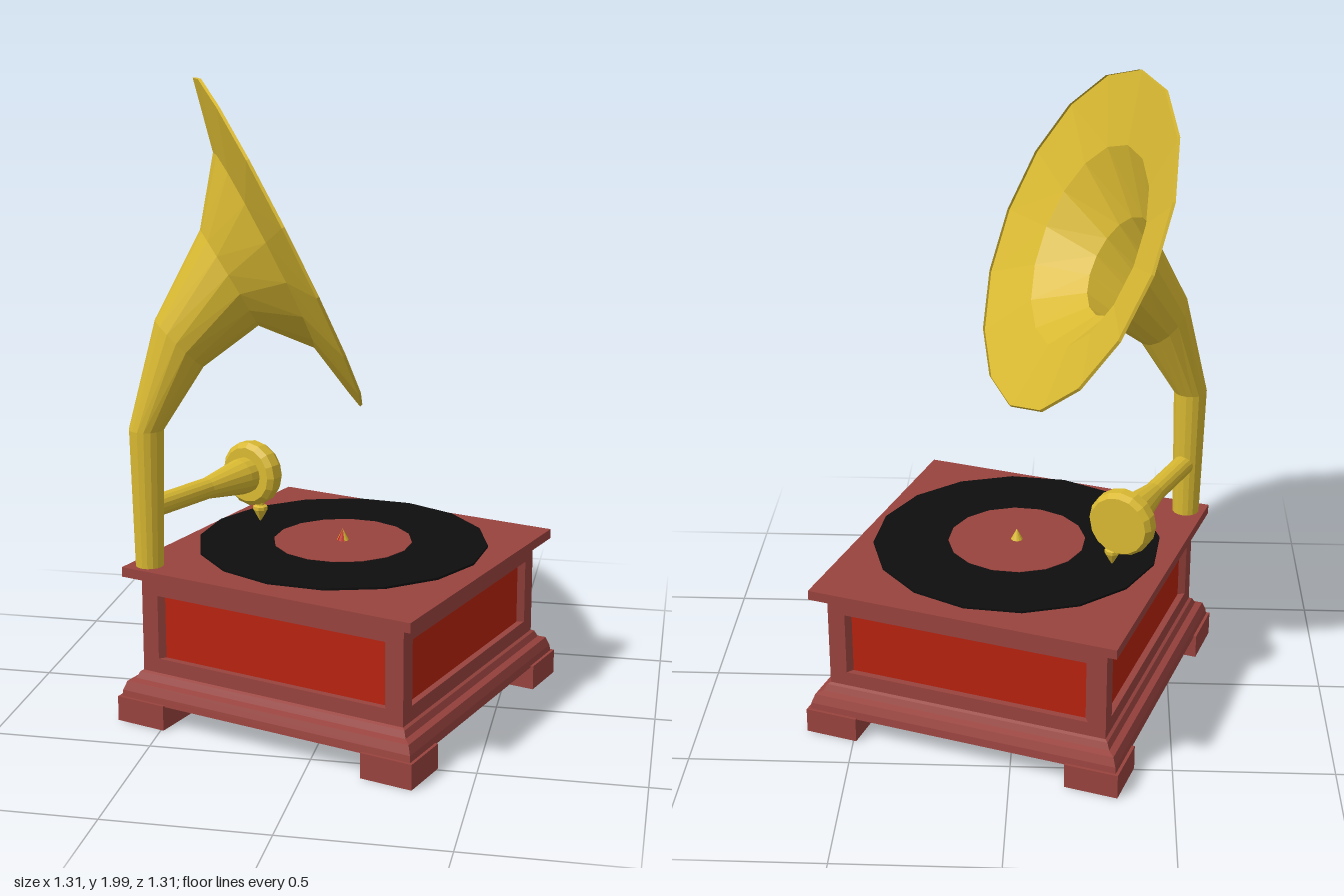
import * as THREE from 'three';

const wood = new THREE.MeshStandardMaterial({ color: 0x99433e });
wood.name = 'wood';
const red = new THREE.MeshStandardMaterial({ color: 0xb8220f });
red.name = 'red panel';
const brass = new THREE.MeshStandardMaterial({ color: 0xd9b932, side: THREE.DoubleSide });
brass.name = 'brass';
const black = new THREE.MeshStandardMaterial({ color: 0x0e0e0e });
black.name = 'black vinyl';

const deg = Math.PI / 180;

// Faceted mesh: every face gets its own normal
function part(name, geo, mat, parent, x = 0, y = 0, z = 0) {
  const g = geo.index ? geo.toNonIndexed() : geo;
  g.computeVertexNormals();
  const mesh = new THREE.Mesh(g, mat);
  mesh.name = name;
  mesh.position.set(x, y, z);
  parent.add(mesh);
  return mesh;
}

function lathe(points, sides) {
  return new THREE.LatheGeometry(points.map(([r, y]) => new THREE.Vector2(r, y)), sides);
}

// Square stepped moulding from [half width, height] pairs
function moulding(points) {
  return lathe(points.map(([h, y]) => [h * Math.SQRT2, y]), 4).rotateY(Math.PI / 4);
}

// Skin of rings lying in the xy plane: [x, y, radius, elevation in degrees]
function ringSkin(rings, sides) {
  const pos = [], index = [];
  rings.forEach(([x, y, r, e], i) => {
    const c = Math.cos(e * deg), s = Math.sin(e * deg);
    for (let j = 0; j < sides; j++) {
      const a = (j + 0.35) / sides * Math.PI * 2;
      pos.push(x + r * Math.sin(a) * s, y - r * Math.sin(a) * c, r * Math.cos(a));
      if (i < rings.length - 1) {
        const k = (j + 1) % sides, p = i * sides, q = p + sides;
        index.push(p + j, p + k, q + k, p + j, q + k, q + j);
      }
    }
  });
  const g = new THREE.BufferGeometry();
  g.setAttribute('position', new THREE.Float32BufferAttribute(pos, 3));
  g.setIndex(index);
  return g;
}

function rect(target, x0, y0, x1, y1) {
  target.moveTo(x0, y0);
  target.lineTo(x1, y0);
  target.lineTo(x1, y1);
  target.lineTo(x0, y1);
  target.closePath();
  return target;
}

function createCabinet() {
  const cabinet = new THREE.Group();
  cabinet.name = 'cabinet';
  const H = 0.457, depth = 0.025, low = 0.15, high = 0.475;

  // Feet, plinth, core and lid
  for (const sx of [-1, 1]) for (const sz of [-1, 1]) {
    part('foot', new THREE.BoxGeometry(0.17, 0.08, 0.17), wood, cabinet, sx * 0.432, 0.04, sz * 0.432);
  }
  part('plinth', moulding([[0, 0.075], [0.508, 0.075], [0.505, 0.1], [0.495, 0.128], [0.475, 0.135], [0.466, 0.155], [H, 0.16], [0, 0.16]]), wood, cabinet);
  const core = 2 * (H - depth);
  part('cabinetCore', new THREE.BoxGeometry(core, high - low, core), wood, cabinet, 0, (low + high) / 2, 0);
  part('lid', new THREE.BoxGeometry(1, 0.031, 1), wood, cabinet, 0, 0.4875, 0);

  // Four sides, each a frame round a sunken panel
  for (let i = 0; i < 4; i++) {
    const side = new THREE.Group();
    side.name = 'cabinetSide';
    side.rotation.y = i * Math.PI / 2;
    cabinet.add(side);
    const w = i % 2 ? H - depth : H;
    const shape = rect(new THREE.Shape(), -w, low, w, high);
    shape.holes.push(rect(new THREE.Path(), -0.4, 0.207, 0.4, 0.413));
    part('panelFrame', new THREE.ExtrudeGeometry(shape, { depth, bevelEnabled: false }), wood, side, 0, 0, H - depth);
    part('panel', new THREE.BoxGeometry(0.8, 0.206, 0.004), red, side, 0, 0.31, H - depth + 0.002);
    // Slanted jambs at both ends of the panel
    for (const s of [-1, 1]) {
      const tri = new THREE.Shape([new THREE.Vector2(0, 0), new THREE.Vector2(-s * 0.017, 0), new THREE.Vector2(0, -depth)]);
      const jamb = new THREE.ExtrudeGeometry(tri, { depth: 0.206, bevelEnabled: false }).rotateX(-Math.PI / 2);
      part('panelJamb', jamb, wood, side, s * 0.4, 0.207, H - depth);
    }
  }

  // Record, label and spindle
  part('record', new THREE.CylinderGeometry(0.46, 0.46, 0.007, 16), black, cabinet, 0, 0.5245, 0);
  part('recordLabel', new THREE.CylinderGeometry(0.22, 0.22, 0.002, 16), wood, cabinet, 0, 0.5285, 0);
  part('spindleFront', new THREE.ConeGeometry(0.032, 0.062, 3, 1, true, -0.25 * Math.PI, 0.5 * Math.PI), red, cabinet, 0, 0.535, 0);
  part('spindleBack', new THREE.ConeGeometry(0.032, 0.062, 9, 1, true, 0.25 * Math.PI, 1.5 * Math.PI), brass, cabinet, 0, 0.535, 0);
  return cabinet;
}

export function createModel() {
  const model = new THREE.Group();
  model.name = 'gramophone';

  const cabinet = createCabinet();
  cabinet.rotation.y = -18.2 * deg;
  model.add(cabinet);

  // Horn: upright pipe that bends and flares into the mouth
  const horn = part('horn', ringSkin([
    [0, 0.5, 0.044, 90],
    [0, 0.937, 0.054, 90],
    [0.105, 1.2, 0.102, 45],
    [0.259, 1.395, 0.168, 30],
    [0.365, 1.475, 0.33, 26],
    [0.404, 1.497, 0.553, 25.5],
    [0.412, 1.501, 0.55, 25.5],
  ], 16), brass, model, -0.553, 0, 0.28);
  horn.rotation.y = 21 * deg;

  // Tone arm ending in a round sound box
  const arm = part('toneArm', lathe([
    [0, 0], [0.034, 0], [0.034, 0.27], [0.058, 0.43], [0.058, 0.465], [0.09, 0.465],
    [0.106, 0.48], [0.106, 0.515], [0.094, 0.535], [0, 0.535],
  ], 16).rotateZ(-Math.PI / 2), brass, model, -0.553, 0.685, 0.28);
  arm.rotation.y = 64 * deg;

  // Needle under the sound box
  part('needle', lathe([[0, 0.525], [0.012, 0.545], [0.024, 0.567], [0.024, 0.578], [0.014, 0.583], [0.014, 0.615]], 8),
    brass, model, -0.305, 0, -0.15);

  return model;
}
